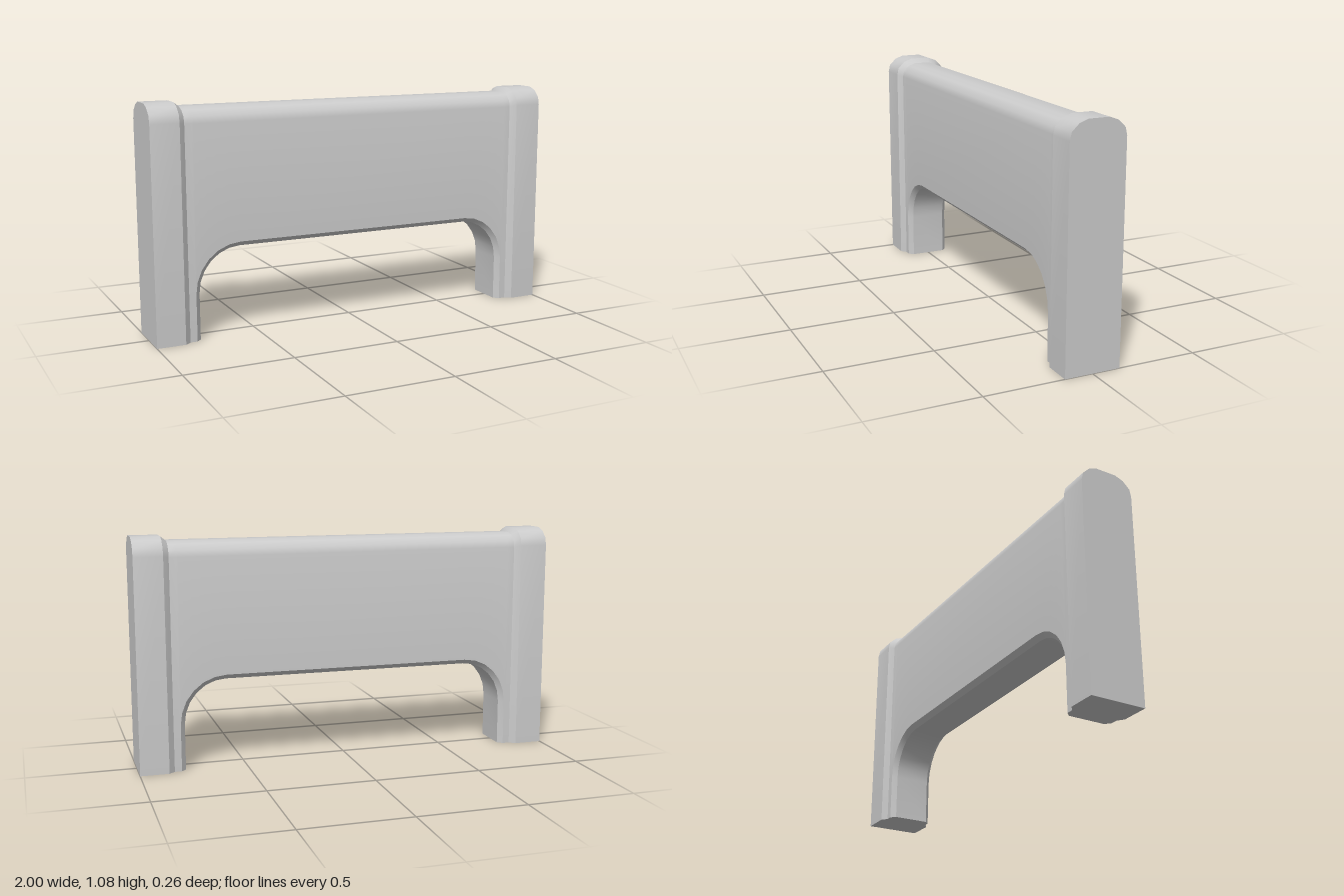
import * as THREE from 'three';
import { toCreasedNormals } from 'three/addons/utils/BufferGeometryUtils.js';

const POST = 0.13;     // half depth of the end posts
const STEP = 0.022;    // how far the panel sits back from the posts
const CHAMFER = 0.022; // bevel round the opening

// Rounded top outline as [z, y], front to back, shrunk by d
function topOutline(d) {
  const half = [[0.13, 0.992], [0.122, 1.028], [0.089, 1.06], [0.048, 1.075]]
    .map(([z, y]) => [z * (1 - d / POST), y - d * (y - 0.95) / 0.125]);
  return [...half, ...half.map(([z, y]) => [-z, y]).reverse()];
}

// Skin between equal closed rings running towards +x, with optional flat ends
function loft(rings, capped) {
  const pos = [];
  const tri = (a, b, c) => {
    const [p, q, r] = [a, b, c].map(v => new THREE.Vector3(...v));
    if (q.sub(p).cross(r.sub(p)).length() > 1e-8) pos.push(...a, ...b, ...c);
  };
  const n = rings[0].length;
  for (let i = 0; i < rings.length - 1; i++) {
    for (let j = 0; j < n; j++) {
      const k = (j + 1) % n;
      const [a, b, c, d] = [rings[i][j], rings[i + 1][j], rings[i + 1][k], rings[i][k]];
      tri(a, b, c);
      tri(a, c, d);
    }
  }
  if (capped) {
    const first = rings[0], last = rings[rings.length - 1];
    for (let j = 1; j < n - 1; j++) {
      tri(first[0], first[j], first[j + 1]);
      tri(last[0], last[j + 1], last[j]);
    }
  }
  const geo = new THREE.BufferGeometry();
  geo.setAttribute('position', new THREE.Float32BufferAttribute(pos, 3));
  return toCreasedNormals(geo, 0.65);
}

// Post cross-section at x
function postRing(x, d) {
  const w = POST - d;
  return [[w, 0], ...topOutline(d), [-w, 0]].map(([z, y]) => [x, y, z]);
}

// Panel cross-section: rounded top at topX, chamfered lower edge at outer / inner
function panelRing(topX, outer, inner) {
  const w = POST - STEP, v = w - CHAMFER;
  return [
    [...inner, v], [...outer, w],
    ...topOutline(STEP).map(([z, y]) => [topX, y, z]),
    [...outer, -w], [...inner, -v],
  ];
}

export function createModel() {
  const group = new THREE.Group();
  const material = new THREE.MeshStandardMaterial({ color: 0xcccccc });
  const add = (name, geo) => {
    const mesh = new THREE.Mesh(geo, material);
    mesh.name = name;
    group.add(mesh);
  };

  // End posts, tapering in to meet the panel
  add('leftPost', loft([postRing(0.84, STEP), postRing(0.867, 0), postRing(1, 0)], true));
  add('rightPost', loft([postRing(-1, 0), postRing(-0.867, 0), postRing(-0.84, STEP)], true));

  // Lower edge of the panel: foot, then the rounded corner of the opening
  const end = 0.84, cx = 0.59, cy = 0.215, rx = 0.217, ry = 0.225, segments = 6;
  const stations = [
    { top: end, outer: [end, 0], inner: [end, 0] },
    { top: end, outer: [cx + rx, 0], inner: [cx + rx - CHAMFER, 0] },
  ];
  for (let i = 0; i <= segments; i++) {
    const a = (i / segments) * Math.PI / 2;
    const at = o => [cx + (rx - o) * Math.cos(a), cy + (ry - o) * Math.sin(a)];
    stations.push({ top: at(0)[0], outer: at(0), inner: at(CHAMFER) });
  }
  const half = s => stations.map(({ top, outer, inner }) =>
    panelRing(s * top, [s * outer[0], outer[1]], [s * inner[0], inner[1]]));
  add('archedPanel', loft([...half(-1), ...half(1).reverse()], false));

  return group;
}
